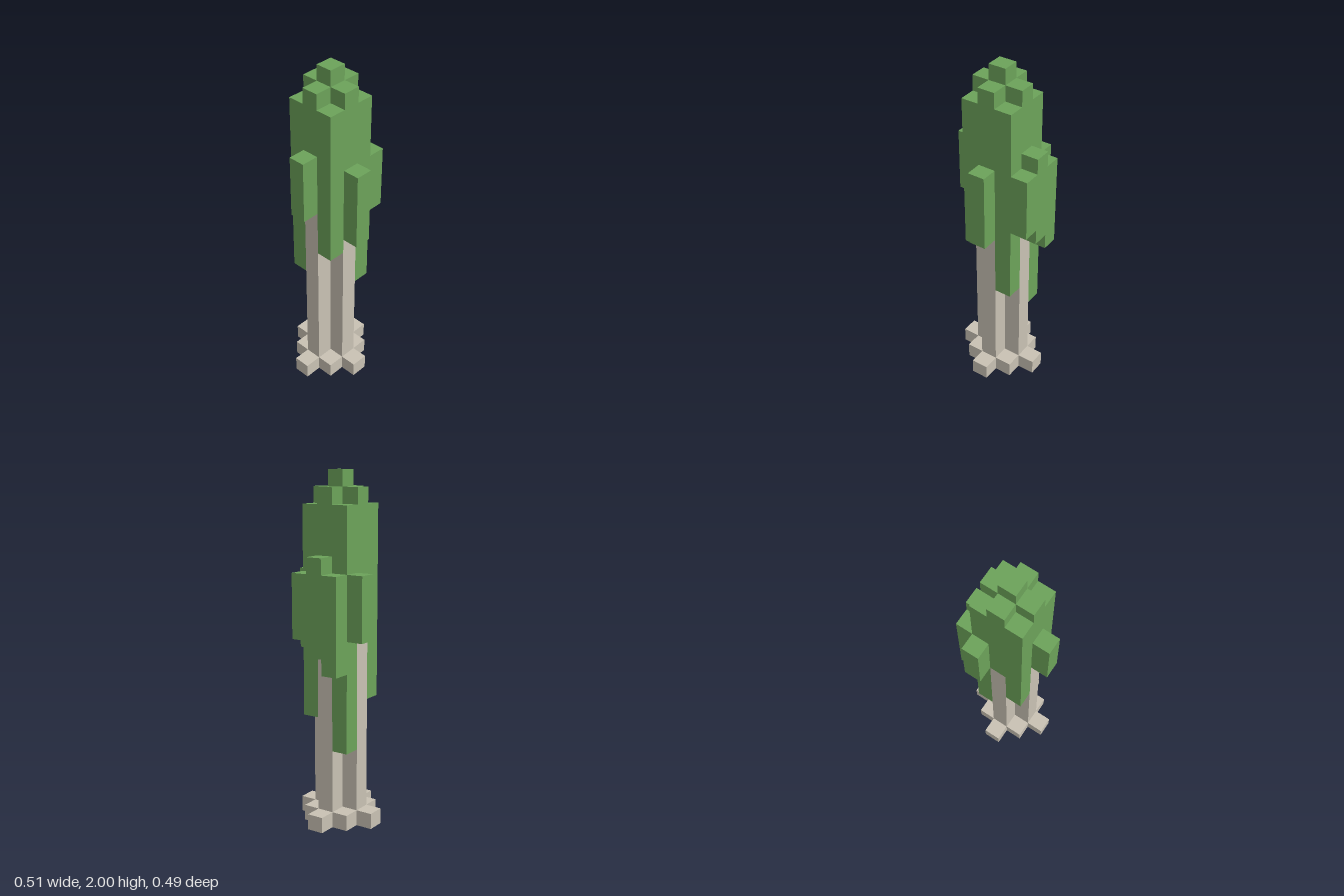
import * as THREE from 'three';

// Grid cell sizes: a block tree, 5 x 22 x 5 cells
const CX = 0.1016, CY = 2 / 22, CZ = 0.097;

const leafGreen = new THREE.MeshStandardMaterial({ color: 0x6ca35a });
const barkBeige = new THREE.MeshStandardMaterial({ color: 0xc9c2b4 });
leafGreen.name = 'leafGreen';
barkBeige.name = 'barkBeige';

// One column of cells at grid position (i, k), from layer y0 up to layer y1
function column(parent, name, material, i, k, y0, y1) {
  const geometry = new THREE.BoxGeometry(CX, (y1 - y0) * CY, CZ);
  const mesh = new THREE.Mesh(geometry, material);
  mesh.name = name;
  mesh.position.set(i * CX, ((y0 + y1) / 2) * CY, k * CZ);
  parent.add(mesh);
}

function part(root, name) {
  const group = new THREE.Group();
  group.name = name;
  root.add(group);
  return group;
}

export function createModel() {
  const root = new THREE.Group();
  root.name = 'blockTree';

  // Root flare: one layer in a stepped diamond
  const roots = part(root, 'roots');
  for (let i = -2; i <= 2; i++)
    for (let k = -2; k <= 2; k++)
      if (Math.abs(i) + Math.abs(k) <= 2) column(roots, 'rootBlock', barkBeige, i, k, 0, 1);

  // Plus-shaped trunk with the crown column above each arm: [x, z, join layer]
  const trunk = part(root, 'trunk');
  const crown = part(root, 'crown');
  for (const [i, k, join] of [[0, 0, 13], [0, 1, 11], [1, 0, 11], [-1, 0, 13], [0, -1, 12]]) {
    column(trunk, 'trunkColumn', barkBeige, i, k, 1, join);
    column(crown, 'crownColumn', leafGreen, i, k, join, i || k ? 21 : 22);
  }

  // Hanging crown corners: [x, z, bottom layer]
  for (const [i, k, bottom] of [[1, 1, 7], [-1, 1, 10], [1, -1, 5], [-1, -1, 8]])
    column(crown, 'crownCorner', leafGreen, i, k, bottom, 20);

  // Outer leaf clumps: [x, z, bottom layer, top layer]
  const clumps = part(root, 'leafClumps');
  for (const [i, k, bottom, top] of [
    [0, 2, 11, 16], [-2, 0, 13, 17], [1, -2, 12, 16],
    [2, 1, 12, 16], [2, 0, 11, 17], [2, -1, 10, 16],
  ]) column(clumps, 'leafClump', leafGreen, i, k, bottom, top);

  return root;
}
